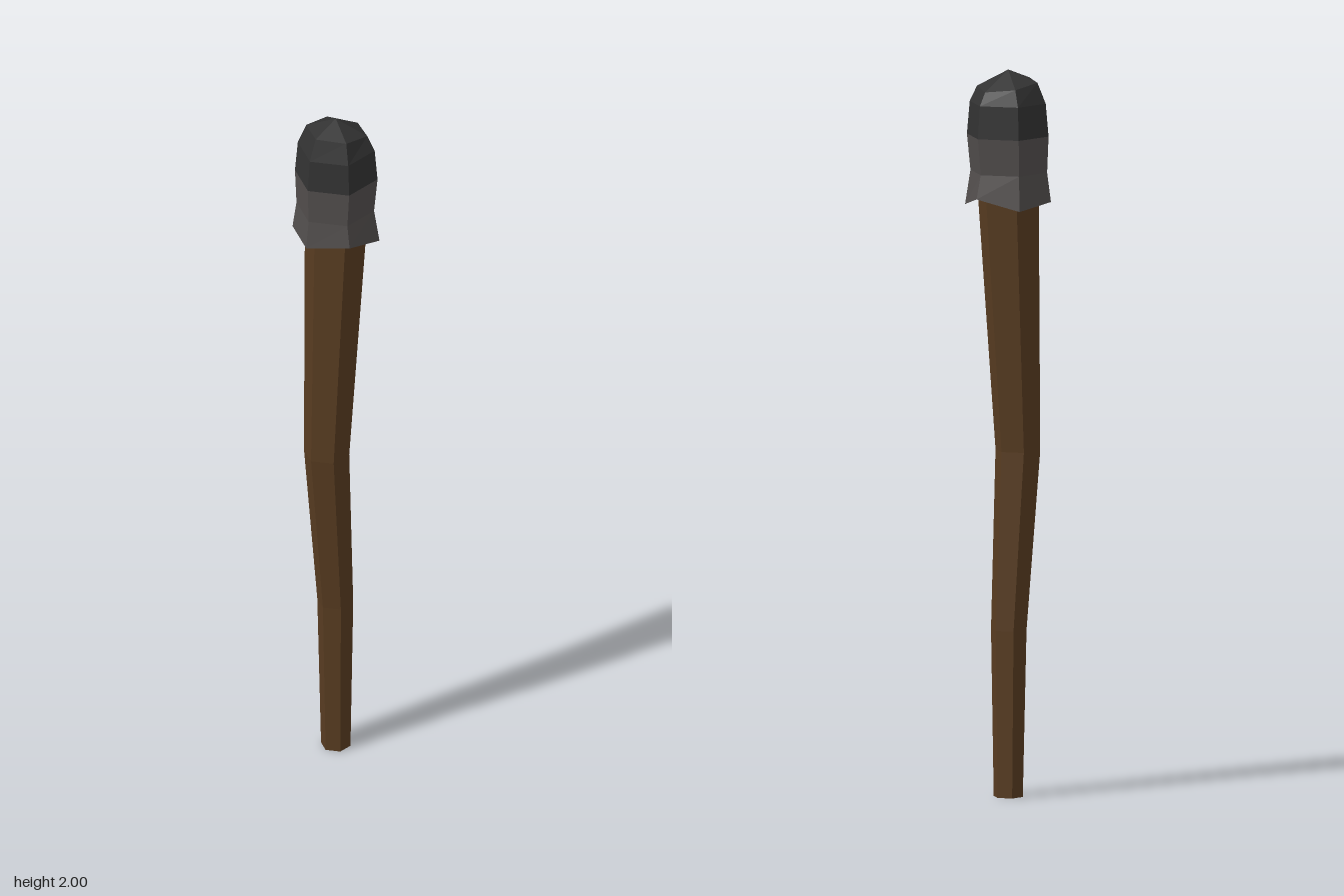
import * as THREE from 'three';

const SIDES = 6;

// Six-sided ring with corners on +z and -z; tilt holds optional height offsets per corner
function ring(y, r, z = 0, tilt = []) {
  return Array.from({ length: SIDES }, (_, i) => {
    const a = (i / SIDES) * Math.PI * 2;
    return new THREE.Vector3(Math.sin(a) * r, y + (tilt[i] || 0), z + Math.cos(a) * r);
  });
}

// Skin stacked rings from bottom to top; a ring of radius 0 closes an end
function loft(rings) {
  const pos = [];
  const tri = (a, b, c) => {
    const area = b.clone().sub(a).cross(c.clone().sub(a)).length();
    if (area > 1e-9) for (const p of [a, b, c]) pos.push(p.x, p.y, p.z);
  };
  for (let k = 0; k < rings.length - 1; k++) {
    for (let i = 0; i < SIDES; i++) {
      const j = (i + 1) % SIDES;
      const [lo, hi] = [rings[k], rings[k + 1]];
      tri(lo[i], lo[j], hi[j]);
      tri(lo[i], hi[j], hi[i]);
    }
  }
  const geo = new THREE.BufferGeometry();
  geo.setAttribute('position', new THREE.Float32BufferAttribute(pos, 3));
  geo.computeVertexNormals();
  return geo;
}

function material(name, color) {
  const m = new THREE.MeshStandardMaterial({ color, flatShading: true });
  m.name = name;
  return m;
}

export function createModel() {
  const group = new THREE.Group();
  group.name = 'torch';
  const wood = material('brown wood', 0x583c21);
  const cloth = material('grey cloth', 0x524e4d);
  const char = material('charred black', 0x323232);
  cloth.side = THREE.DoubleSide;

  const add = (name, rings, mat) => {
    const mesh = new THREE.Mesh(loft(rings), mat);
    mesh.name = name;
    group.add(mesh);
  };

  // Tapered, slightly bent handle
  add('handle', [
    ring(0, 0), ring(0, 0.041), ring(0.46, 0.05, 0.002),
    ring(0.95, 0.063, 0.037), ring(1.66, 0.086), ring(1.7, 0.086), ring(1.7, 0),
  ], wood);

  // Cloth wrap with a ragged, flared hem tucked in to the handle
  const seam = ring(1.82, 0.115, -0.002);
  const hem = ring(1.64, 0.121, -0.001, [0, 0.015, -0.015, 0.015, -0.015, 0]);
  add('wrap', [
    ring(1.67, 0.085), hem, ring(1.72, 0.108, 0.002), seam,
  ], cloth);

  // Rounded burnt head
  add('burntHead', [
    seam, ring(1.91, 0.107, -0.002),
    ring(1.96, 0.085, -0.004, [0.01, 0.007, -0.007, -0.014, -0.005, 0.007]),
    ring(2, 0),
  ], char);

  return group;
}
